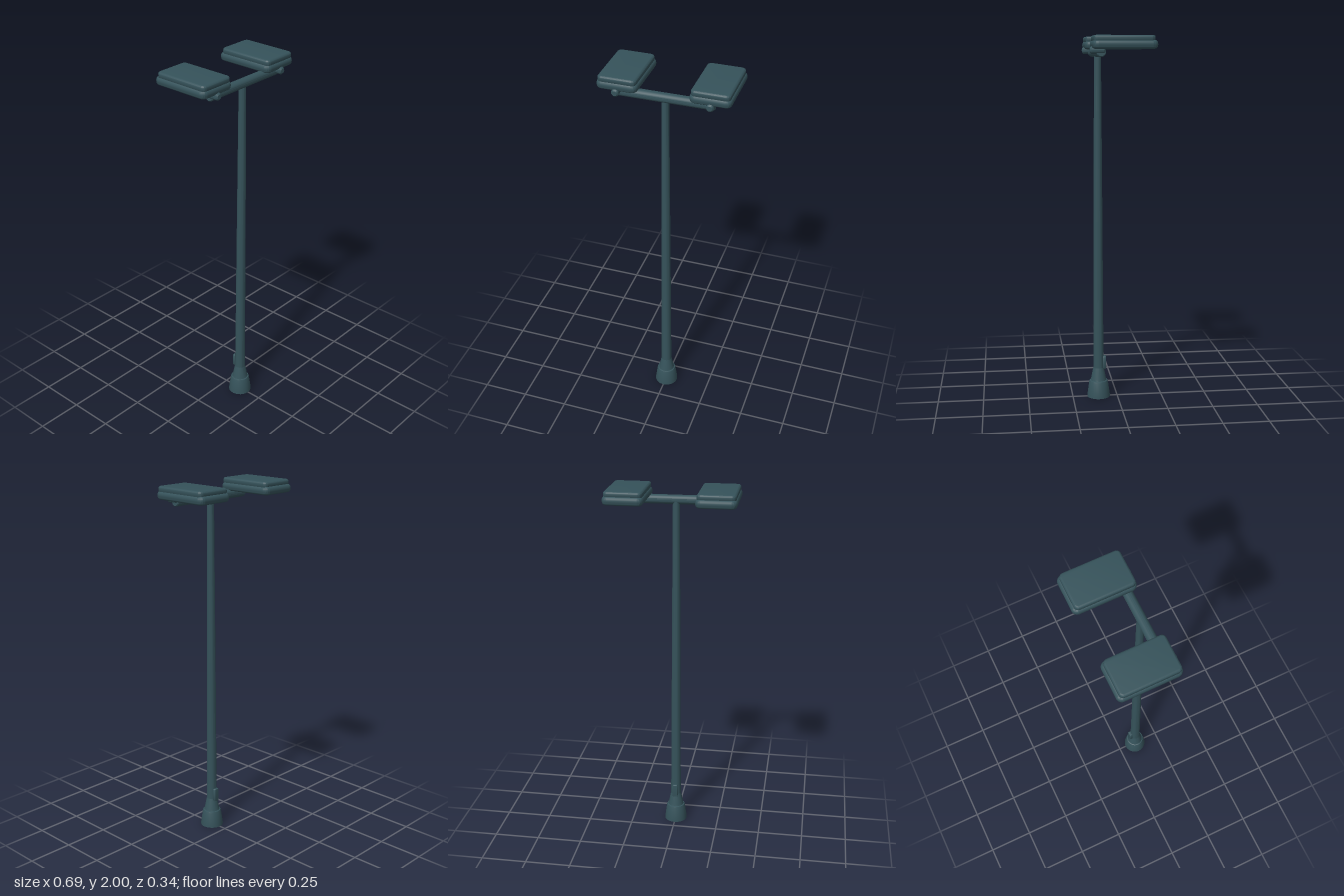
import * as THREE from 'three';
import { toCreasedNormals } from 'three/addons/utils/BufferGeometryUtils.js';

const paint = new THREE.MeshStandardMaterial({ color: 0x35525a });
const lens = new THREE.MeshStandardMaterial({ color: 0x7d6844 });
const POLE_Z = 0.105;

function part(name, geometry, material = paint) {
  const mesh = new THREE.Mesh(geometry, material);
  mesh.name = name;
  return mesh;
}

function roundedRect(target, w, d, r) {
  const x = w / 2, y = d / 2;
  target.moveTo(-x + r, -y);
  target.lineTo(x - r, -y);
  target.absarc(x - r, -y + r, r, -Math.PI / 2, 0);
  target.lineTo(x, y - r);
  target.absarc(x - r, y - r, r, 0, Math.PI / 2);
  target.lineTo(-x + r, y);
  target.absarc(-x + r, y - r, r, Math.PI / 2, Math.PI);
  target.lineTo(-x, -y + r);
  target.absarc(-x + r, -y + r, r, Math.PI, Math.PI * 1.5);
  return target;
}

// Horizontal slab with rounded corners and rounded edges, optionally with a window
function slab(w, d, r, y0, y1, bevel, window) {
  const shape = roundedRect(new THREE.Shape(), w - 2 * bevel, d - 2 * bevel, r);
  if (window) shape.holes.push(roundedRect(new THREE.Path(), window[0], window[1], 0.008));
  const geometry = new THREE.ExtrudeGeometry(shape, {
    depth: y1 - y0 - 2 * bevel, bevelSize: bevel, bevelThickness: bevel,
    bevelSegments: 4, curveSegments: 5,
  });
  geometry.rotateX(-Math.PI / 2).translate(0, y0 + bevel, 0);
  return toCreasedNormals(geometry, 0.7);
}

function lathe(points, segments) {
  const geometry = new THREE.LatheGeometry(points.map(([r, y]) => new THREE.Vector2(r, y)), segments);
  return toCreasedNormals(geometry, 0.5);
}

export function createModel() {
  const model = new THREE.Group();
  model.name = 'streetLamp';

  // Flared foot with a collar, then the tapered pole
  const foot = part('foot', lathe([
    [0, 0], [0.064, 0], [0.064, 0.008], [0.053, 0.085], [0.05, 0.093],
    [0.044, 0.095], [0.042, 0.105], [0.032, 0.155], [0.027, 0.175], [0, 0.175],
  ], 24));
  const pole = part('pole', lathe([
    [0.029, 0.15], [0.027, 0.5], [0.0245, 1], [0.021, 1.6], [0.019, 1.91], [0, 1.91],
  ], 20));
  foot.position.z = pole.position.z = POLE_Z;

  // Service hatch on the back of the pole
  const hatch = part('serviceHatch', slab(0.03, 0.075, 0.003, 0, 0.02, 0.003));
  hatch.rotation.x = -Math.PI / 2;
  hatch.position.set(0, 0.195, 0.083);
  model.add(foot, pole, hatch);

  // Cross arm
  const armGeometry = lathe([
    [0, -0.255], [0.021, -0.255], [0.025, -0.251], [0.025, 0.251], [0.021, 0.255], [0, 0.255],
  ], 20);
  const arm = part('crossArm', armGeometry);
  arm.rotation.z = Math.PI / 2;
  arm.position.set(0, 1.915, 0.11);
  model.add(arm);

  for (const side of [-1, 1]) {
    const head = new THREE.Group();
    head.name = side > 0 ? 'leftLampHead' : 'rightLampHead';
    head.position.x = side * 0.238;

    // Rounded rim, cover above it and light panel recessed below
    const rim = part('rim', slab(0.212, 0.332, 0.012, 1.931, 1.976, 0.018, [0.192, 0.3]));
    rim.position.z = -0.006;
    const cover = part('cover', slab(0.199, 0.314, 0.012, 1.966, 2, 0.011));
    cover.position.z = -0.002;
    const panel = part('lightPanel', new THREE.BoxGeometry(0.18, 0.008, 0.285), lens);
    panel.position.set(0, 1.942, -0.006);

    // Pivot joint holding the head on the arm
    const joint = part('joint', lathe([
      [0, -0.04], [0.014, -0.04], [0.02, -0.034], [0.02, 0.032], [0.013, 0.04], [0, 0.04],
    ], 16));
    joint.rotation.x = Math.PI / 2;
    joint.position.set(side * 0.003, 1.925, 0.128);

    head.add(rim, cover, panel, joint);
    model.add(head);
  }
  return model;
}
